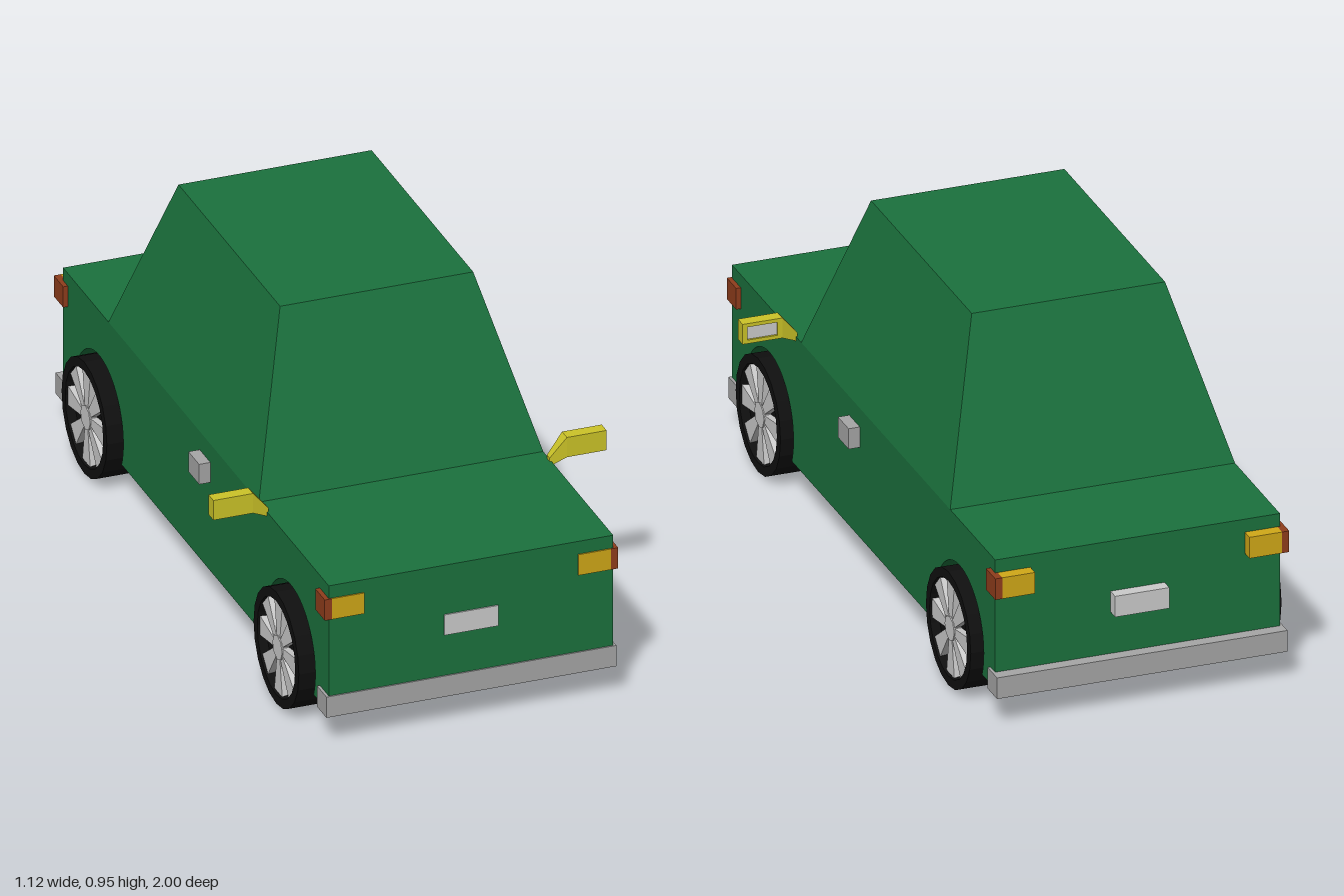
import * as THREE from 'three';

const mat = (color) => new THREE.MeshStandardMaterial({ color, flatShading: true });
const paint = mat(0x1b713d), yellow = mat(0xccc428), amber = mat(0xd0a818);
const red = mat(0x8f3d1c), black = mat(0x0f0f0f), grey = mat(0xcccccc), darkGrey = mat(0xa6a6a6);

const WHEEL_Z = [0.717, -0.7], WHEEL_Y = 0.167, WHEEL_R = 0.167, ARCH_R = 0.18;
const WELL_X = 0.23, BODY_X = 0.405, FLOOR = 0.1, WAIST = 0.48, FRONT = 0.996, BACK = -0.965;

function add(parent, name, geometry, material) {
  const mesh = new THREE.Mesh(geometry, material);
  mesh.name = name;
  parent.add(mesh);
  return mesh;
}

// Box given by its limits along each axis
function block(x0, x1, y0, y1, z0, z1) {
  return new THREE.BoxGeometry(Math.abs(x1 - x0), y1 - y0, z1 - z0)
    .translate((x0 + x1) / 2, (y0 + y1) / 2, (z0 + z1) / 2);
}

// Move every vertex of a geometry by a rule
function reshape(geometry, rule) {
  const p = geometry.attributes.position;
  const v = new THREE.Vector3();
  for (let i = 0; i < p.count; i++) {
    rule(v.fromBufferAttribute(p, i));
    p.setXYZ(i, v.x, v.y, v.z);
  }
  geometry.computeVertexNormals();
  return geometry;
}

// Side slab of the body, with both wheel arches cut out of its lower edge
function bodySide() {
  const dip = Math.asin((WHEEL_Y - FLOOR) / ARCH_R);
  const shape = new THREE.Shape();
  shape.moveTo(FRONT, FLOOR);
  shape.lineTo(FRONT, WAIST);
  shape.lineTo(BACK, WAIST);
  shape.lineTo(BACK, FLOOR);
  for (const z of [...WHEEL_Z].reverse()) {
    shape.absarc(z, WHEEL_Y, ARCH_R, Math.PI + dip, -dip, true);
  }
  shape.closePath();
  return new THREE.ExtrudeGeometry(shape, { depth: BODY_X - WELL_X, bevelEnabled: false, curveSegments: 20 })
    .rotateY(-Math.PI / 2);
}

// Wheel with its axle along y and its outer face at +y
function makeWheel(name) {
  const wheel = new THREE.Group();
  wheel.name = name;
  const h = 0.096;
  const profile = [[0, -h], [WHEEL_R, -h], [WHEEL_R, h], [0.14, h], [0.136, h - 0.025], [0, h - 0.025]];
  add(wheel, 'tyre', new THREE.LatheGeometry(profile.map(([r, y]) => new THREE.Vector2(r, y)), 20), black);
  add(wheel, 'hub', new THREE.CylinderGeometry(0.036, 0.036, 0.024, 8).translate(0, h - 0.015, 0), grey);

  const spoke = new THREE.Shape([[0.028, -0.011], [0.136, -0.029], [0.136, 0.029], [0.028, 0.011]]
    .map(([x, y]) => new THREE.Vector2(x, y)));
  const spokeGeometry = new THREE.ExtrudeGeometry(spoke, { depth: 0.02, bevelEnabled: false })
    .rotateX(-Math.PI / 2).translate(0, h - 0.026, 0);
  for (let i = 0; i < 8; i++) {
    add(wheel, 'spoke', spokeGeometry, grey).rotation.y = i * Math.PI / 4;
  }
  return wheel;
}

// Door mirror: tapered arm, hollow-backed housing and glass
function makeMirror(s, name) {
  const mirror = new THREE.Group();
  mirror.name = name;
  const arm = reshape(block(s * 0.4, s * 0.447, 0.487, 0.546, 0.51, 0.546), (v) => {
    if (Math.abs(v.x) > 0.42) return;
    v.y = v.y > 0.51 ? 0.49 : 0.465;
    v.z = v.z > 0.53 ? 0.54 : 0.52;
  });
  add(mirror, 'mirrorArm', arm, yellow);
  add(mirror, 'mirrorHousing', block(s * 0.447, s * 0.56, 0.487, 0.546, 0.52, 0.546), yellow);

  const frame = new THREE.Shape();
  frame.moveTo(-0.0565, -0.0295).lineTo(0.0565, -0.0295).lineTo(0.0565, 0.0295).lineTo(-0.0565, 0.0295).closePath();
  const opening = new THREE.Path();
  opening.moveTo(-0.043, -0.019).lineTo(-0.043, 0.019).lineTo(0.043, 0.019).lineTo(0.043, -0.019).closePath();
  frame.holes.push(opening);
  add(mirror, 'mirrorFrame', new THREE.ExtrudeGeometry(frame, { depth: 0.01, bevelEnabled: false }), yellow)
    .position.set(s * 0.5035, 0.5165, 0.51);
  add(mirror, 'mirrorGlass', block(s * 0.46, s * 0.547, 0.497, 0.536, 0.516, 0.522), grey);
  return mirror;
}

export function createModel() {
  const car = new THREE.Group();
  car.name = 'car';

  // Body: full-length core between two arched sides
  const body = new THREE.Group();
  body.name = 'body';
  car.add(body);
  add(body, 'bodyCore', block(-WELL_X, WELL_X, FLOOR, WAIST, BACK, FRONT), paint);
  add(body, 'leftBodySide', bodySide(), paint).position.x = BODY_X;
  add(body, 'rightBodySide', bodySide(), paint).position.x = -WELL_X;

  // Cabin tapering to the roof
  add(body, 'cabin', reshape(block(-BODY_X, BODY_X, WAIST, 0.955, -0.63, 0.48), (v) => {
    if (v.y < 0.7) return;
    v.x = Math.sign(v.x) * 0.275;
    v.z = v.z > 0 ? 0.3 : -0.45;
  }), paint);

  // Bumpers, plates and lamps at both ends
  for (const [end, z0, z1] of [['front', 0.93, 1], ['rear', -1, -0.93]]) {
    add(car, end + 'Bumper', block(-0.413, 0.413, 0.088, 0.15, z0, z1), darkGrey);
    add(car, end + 'Plate', block(-0.077, 0.077, 0.272, 0.333, z0, z1), grey);
    for (const s of [1, -1]) {
      const side = s > 0 ? 'Left' : 'Right';
      add(car, end + side + 'Lamp', block(s * 0.305, s * 0.398, 0.38, 0.442, z0, z1), amber);
      add(car, end + side + 'Indicator', block(s * 0.398, s * 0.418, 0.38, 0.442, z0, z1), red);
    }
  }

  // Wheels, door handles and mirrors on each side
  for (const s of [1, -1]) {
    const side = s > 0 ? 'left' : 'right';
    WHEEL_Z.forEach((z, i) => {
      const wheel = makeWheel(side + (i ? 'Rear' : 'Front') + 'Wheel');
      wheel.rotation.z = -s * Math.PI / 2;
      wheel.position.set(s * 0.346 - 0.005, WHEEL_Y, z);
      car.add(wheel);
    });
    add(car, side + 'DoorHandle', block(s * 0.38, s * 0.437, 0.365, 0.425, 0.043, 0.122), darkGrey);
    car.add(makeMirror(s, side + 'Mirror'));
  }
  return car;
}
